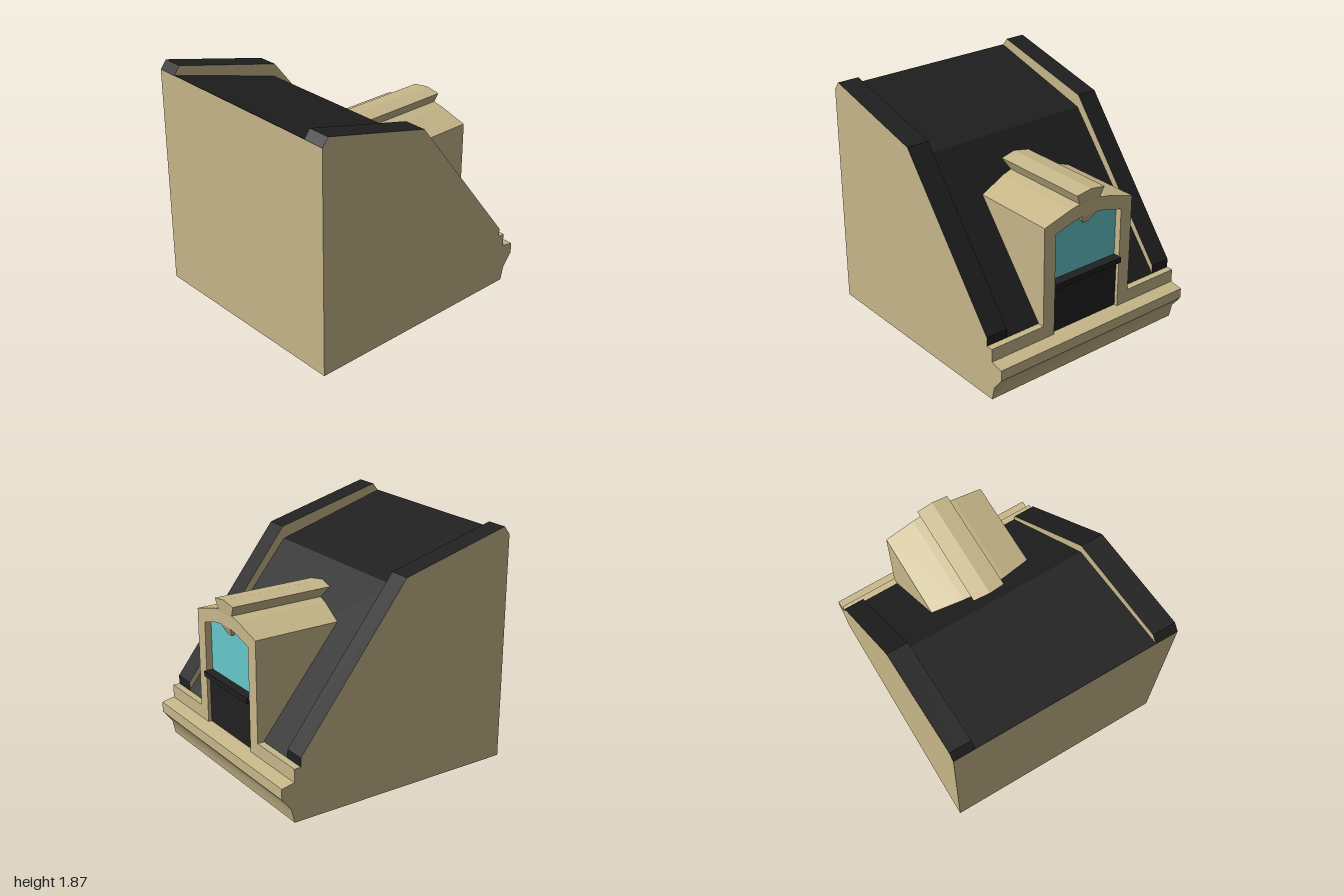
import * as THREE from 'three';
import { toCreasedNormals } from 'three/addons/utils/BufferGeometryUtils.js';

const mat = (color) => new THREE.MeshStandardMaterial({ color });

// Extrude an outline of [x, y] points from z0 to z1
function extrudeZ(points, z0, z1) {
  const shape = new THREE.Shape(points.map(([x, y]) => new THREE.Vector2(x, y)));
  return new THREE.ExtrudeGeometry(shape, { depth: z1 - z0, bevelEnabled: false }).translate(0, 0, z0);
}

// Extrude an outline of [z, y] points from x0 to x1
function extrudeX(points, x0, x1) {
  return extrudeZ(points.map(([z, y]) => [-z, y]), x0, x1).rotateY(Math.PI / 2);
}

// Half outline (z > 0) followed by its mirror image
const mirror = (half) => [...half, ...half.filter(([z]) => z > 0).reverse().map(([z, y]) => [-z, y])];

// Shift the front vertices of a part in x according to their height
function leanFront(geo, xFront, rule) {
  const p = geo.attributes.position;
  for (let i = 0; i < p.count; i++) {
    if (p.getX(i) > xFront - 0.001) p.setX(i, xFront + rule(p.getY(i)));
  }
  geo.computeVertexNormals();
  return geo;
}

export function createModel() {
  const model = new THREE.Group();
  const stone = mat(0xc8b88a), slate = mat(0x202020), glass = mat(0x68c8cc);
  const add = (name, geo, material, parent = model) => {
    const mesh = new THREE.Mesh(geo, material);
    mesh.name = name;
    parent.add(mesh);
    return mesh;
  };
  const box = (x0, x1, y0, y1, z0, z1) => new THREE.BoxGeometry(x1 - x0, y1 - y0, z1 - z0)
    .translate((x0 + x1) / 2, (y0 + y1) / 2, (z0 + z1) / 2);

  // Main block with moulded cornice
  const roofLine = [[0.84, 0.42], [-0.065, 1.53], [-1, 1.8]];
  const block = [[-1, 0], [0.895, 0], [0.92, 0.11], [1, 0.21], [1, 0.295],
    [0.895, 0.315], [0.84, 0.315], ...roofLine];
  add('block', toCreasedNormals(extrudeZ(block, -0.9, 0.9), 0.5), stone);

  // Slate covering between the parapets
  const roof = [...roofLine, [-1, 1.804], [-0.063, 1.534], [0.843, 0.423]].reverse();
  add('roof', extrudeZ(roof, -0.73, 0.73), slate);

  // Raised parapets: stone end faces, slate tops
  const parapet = [...roofLine, [-0.95, 1.865], [-0.055, 1.635], [0.84, 0.49]];
  add('parapetLeft', extrudeZ(parapet, 0.72, 0.9), [stone, slate]);
  add('parapetRight', extrudeZ(parapet, -0.9, -0.73), [stone, slate]);

  // Dormer, set slightly off centre
  const dormer = new THREE.Group();
  dormer.name = 'dormer';
  dormer.position.z = 0.007;
  model.add(dormer);

  // Curb on both sides of the dormer front
  add('curbLeft', box(0.83, 0.895, 0.315, 0.42, 0.427, 0.9), stone);
  add('curbRight', box(0.83, 0.895, 0.315, 0.42, -0.9, -0.413), stone);

  const outline = [[0.42, 0.315], [0.42, 1.215], [0.18, 1.285], [0.09, 1.303]];
  const opening = [[0.315, 0.315], [0.315, 1.135], [0.15, 1.182], [0.07, 1.195]];
  add('dormerBody', extrudeX(mirror(outline), 0, 0.83), stone, dormer);

  // Arched surround, open at the bottom
  const surround = [...mirror(outline), ...mirror(opening).reverse()];
  add('windowSurround', extrudeX(surround, 0.83, 0.895), stone, dormer);

  // Keystone ridge running back into the roof
  const ridge = extrudeX(mirror([[0.09, 1.29], [0.13, 1.38], [0, 1.4]]), -0.03, 0.895);
  add('keystoneRidge', leanFront(ridge, 0.895, (y) => Math.max(0, y - 1.29) * 0.1), stone, dormer);

  // Keystone tip hanging below the arch, sloping inward
  const tip = extrudeX(mirror([[0.07, 1.197], [0.055, 1.165], [0.03, 1.125], [0.012, 1.12]]), 0.83, 0.895);
  add('keystoneTip', leanFront(tip, 0.895, (y) => (y - 1.197) * 0.45), stone, dormer);

  // Window pane, lower panel and sill bar
  const pane = mirror([[0.315, 0.72], ...opening.slice(1)]);
  add('windowPane', extrudeX(pane, 0.825, 0.842), glass, dormer);
  add('lowerPanel', box(0.83, 0.867, 0.315, 0.71, -0.315, 0.315), slate, dormer);
  add('sillBar', box(0.84, 0.917, 0.7, 0.742, -0.315, 0.315), slate, dormer);

  return model;
}
